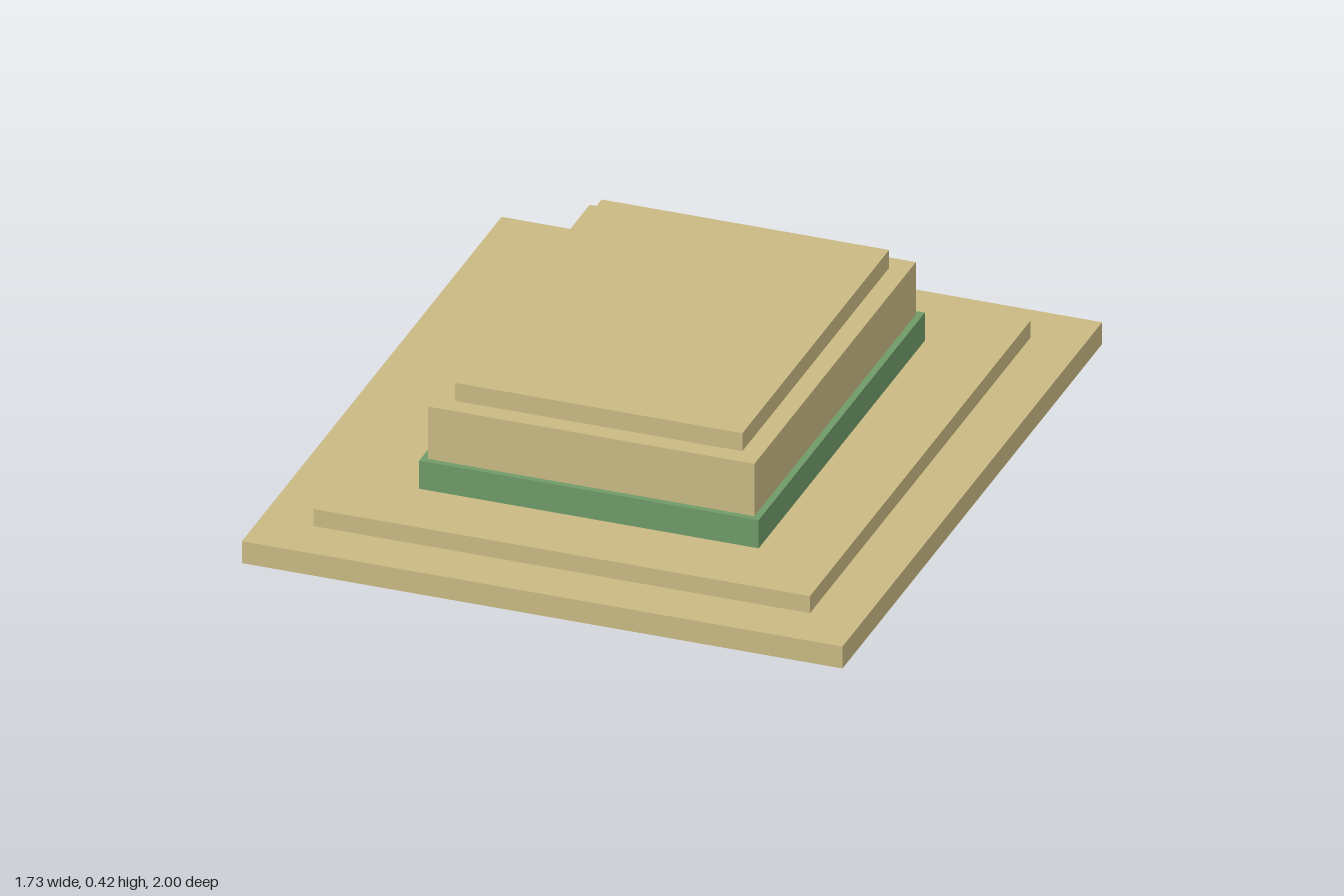
import * as THREE from 'three';

export function createModel() {
  const model = new THREE.Group();
  model.name = 'steppedPlinth';

  const stone = new THREE.MeshStandardMaterial({ color: 0xc8b882 });
  stone.name = 'sandstone';
  const green = new THREE.MeshStandardMaterial({ color: 0x6f9a68 });
  green.name = 'green band';

  // Stacked slabs from the ground up: name, half width, half depth, bottom, top, material
  const tiers = [
    ['baseSlab', 0.867, 1.0, 0, 0.067, stone],
    ['upperStep', 0.717, 0.85, 0.067, 0.119, stone],
    ['greenBand', 0.49, 0.64, 0.119, 0.205, green],
    ['mainBlock', 0.471, 0.622, 0.205, 0.365, stone],
    ['topSlab', 0.415, 0.565, 0.365, 0.42, stone],
  ];

  for (const [name, halfWidth, halfDepth, bottom, top, material] of tiers) {
    const geometry = new THREE.BoxGeometry(halfWidth * 2, top - bottom, halfDepth * 2);
    const slab = new THREE.Mesh(geometry, material);
    slab.name = name;
    slab.position.y = (bottom + top) / 2;
    model.add(slab);
  }

  return model;
}
